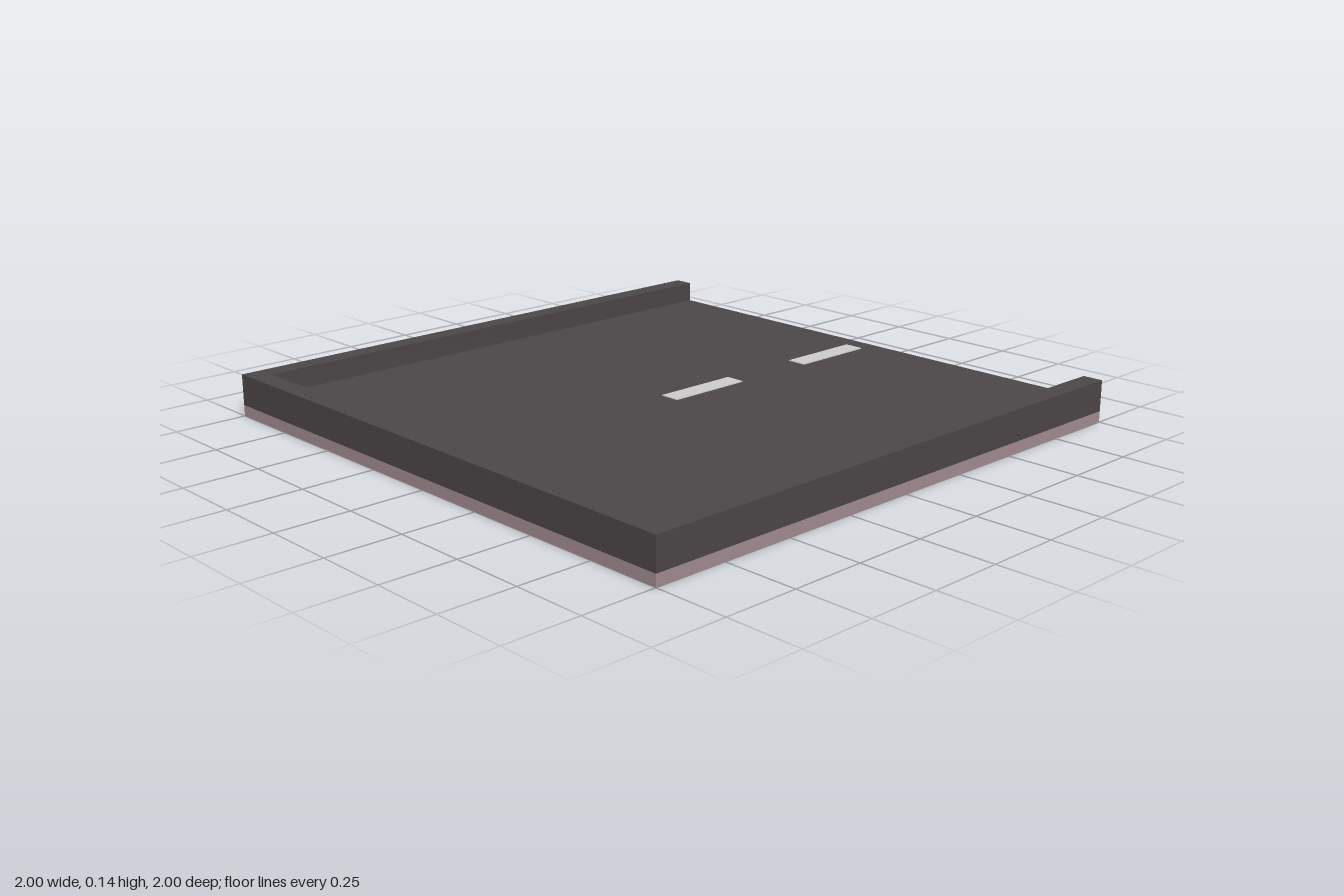
import * as THREE from 'three';

const BASE_TOP = 0.038, ROAD_TOP = 0.073, CURB_TOP = 0.144, CURB = 0.07;

export function createModel() {
  const group = new THREE.Group();
  const asphalt = new THREE.MeshStandardMaterial({ color: 0x4b4648 });
  const stone = new THREE.MeshStandardMaterial({ color: 0xa08a90 });
  const paint = new THREE.MeshStandardMaterial({ color: 0xcccccc });

  const add = (name, geometry, material) => {
    const mesh = new THREE.Mesh(geometry, material);
    mesh.name = name;
    group.add(mesh);
    return mesh;
  };

  // foundation slab
  add('foundation', new THREE.BoxGeometry(2, BASE_TOP, 2), stone).position.y = BASE_TOP / 2;

  // road surface, enclosed by the curb on three sides and open at the back
  const roadHeight = ROAD_TOP - BASE_TOP;
  add('roadSurface', new THREE.BoxGeometry(2 - 2 * CURB, roadHeight, 2 - CURB), asphalt)
    .position.set(0, BASE_TOP + roadHeight / 2, -CURB / 2);

  // U-shaped curb, drawn in plan (shape y becomes -z) and extruded upward
  const inner = 1 - CURB;
  const plan = new THREE.Shape([
    [-1, -1], [1, -1], [1, 1], [inner, 1], [inner, -inner], [-inner, -inner], [-inner, 1], [-1, 1],
  ].map(([x, y]) => new THREE.Vector2(x, y)));
  const curb = new THREE.ExtrudeGeometry(plan, { depth: CURB_TOP - BASE_TOP, bevelEnabled: false });
  curb.rotateX(-Math.PI / 2);
  add('curb', curb, asphalt).position.y = BASE_TOP;

  // centre line dashes
  [-0.775, -0.155].forEach((z, i) => {
    add(`laneDash${i + 1}`, new THREE.BoxGeometry(0.07, 0.004, 0.31), paint)
      .position.set(0, ROAD_TOP + 0.001, z);
  });

  return group;
}
